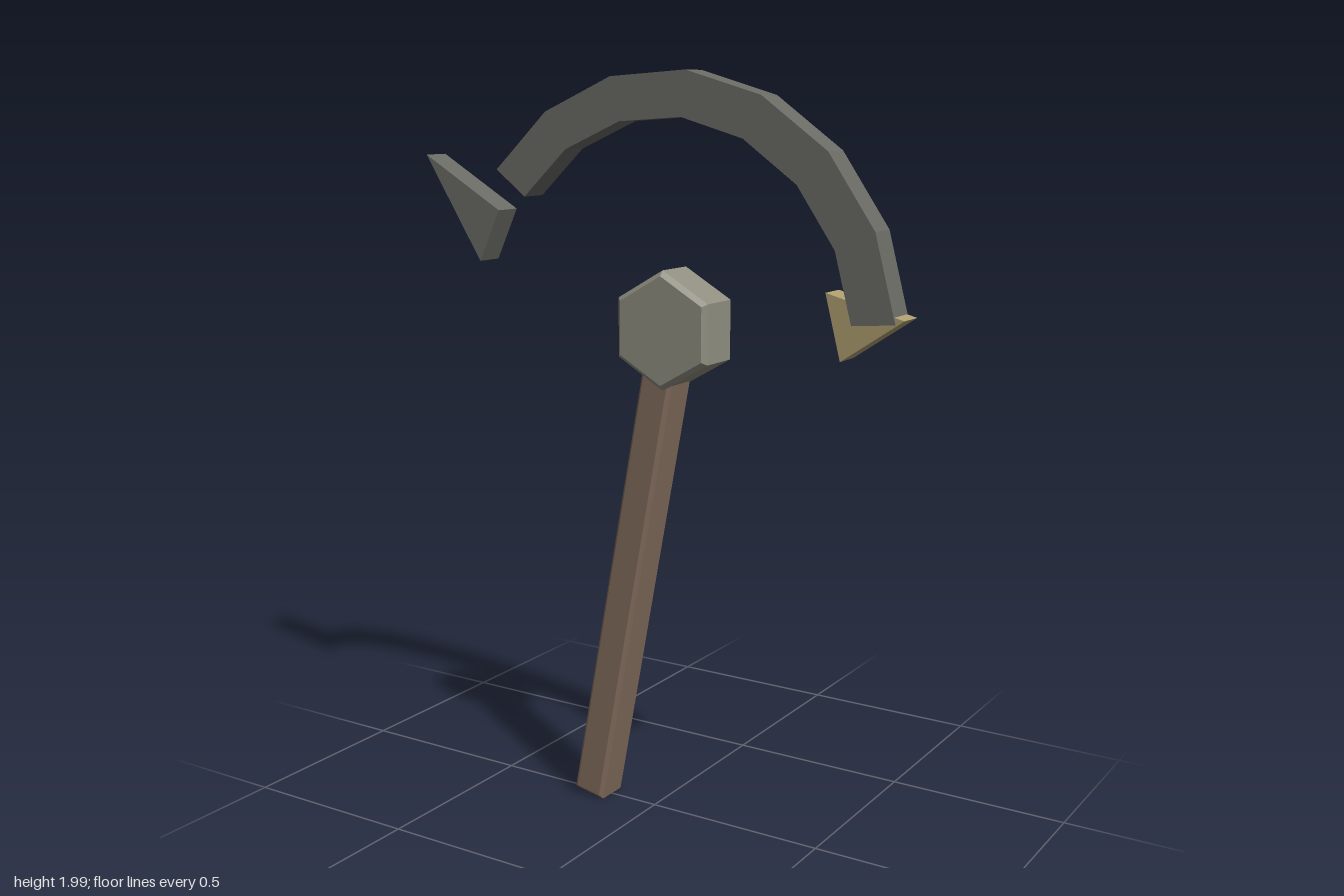
import * as THREE from 'three';

const material = (name, color) => {
  const m = new THREE.MeshStandardMaterial({ color });
  m.name = name;
  return m;
};

// Straight-sided plate centred on z = 0; the bevel stays inside the outline and depth
function plate(name, points, halfDepth, mat, bevel = 0) {
  const shape = new THREE.Shape(points.map(([x, y]) => new THREE.Vector2(x, y)));
  const geometry = new THREE.ExtrudeGeometry(shape, {
    depth: 2 * (halfDepth - bevel),
    bevelEnabled: bevel > 0,
    bevelThickness: bevel,
    bevelSize: bevel,
    bevelOffset: -bevel,
    bevelSegments: 1,
  });
  geometry.translate(0, 0, bevel - halfDepth);
  const mesh = new THREE.Mesh(geometry, mat);
  mesh.name = name;
  return mesh;
}

// Points along a circle, from angle a to angle b in degrees
function arc(cx, cy, r, a, b, steps) {
  return Array.from({ length: steps + 1 }, (_, i) => {
    const t = THREE.MathUtils.degToRad(a + ((b - a) * i) / steps);
    return [cx + r * Math.cos(t), cy + r * Math.sin(t)];
  });
}

export function createModel() {
  const group = new THREE.Group();
  group.name = 'curvedPick';
  const iron = material('dark iron', 0x6a6a65);
  const stone = material('grey stone', 0x8f8e80);
  const wood = material('brown wood', 0x826c5c);
  const brass = material('dull brass', 0xae9f70);

  // Leaning handle, hung from the middle of the hub
  const handle = plate('handle',
    [[-0.047, -1.355], [0.047, -1.355], [0.047, 0], [-0.047, 0]], 0.054, wood, 0.01);
  handle.position.set(0.06, 1.35, 0);
  handle.rotation.z = THREE.MathUtils.degToRad(-10.6);
  group.add(handle);

  // Hexagonal hub
  group.add(plate('hub', arc(0.06, 1.35, 0.155, 30, 330, 5), 0.069, stone, 0.012));

  // Faceted curved blade
  group.add(plate('curvedBlade', [
    ...arc(0.045, 1.35, 0.654, 5.3, 143, 7),
    ...arc(0.045, 1.35, 0.539, 143, 5.3, 7),
  ], 0.04, iron));

  // Detached spike and brass tip
  group.add(plate('spike', [[-0.72, 1.778], [-0.54, 1.495], [-0.473, 1.635]], 0.04, iron));
  group.add(plate('brassTip', [[0.51, 1.475], [0.553, 1.31], [0.718, 1.421]], 0.037, brass));
  return group;
}
